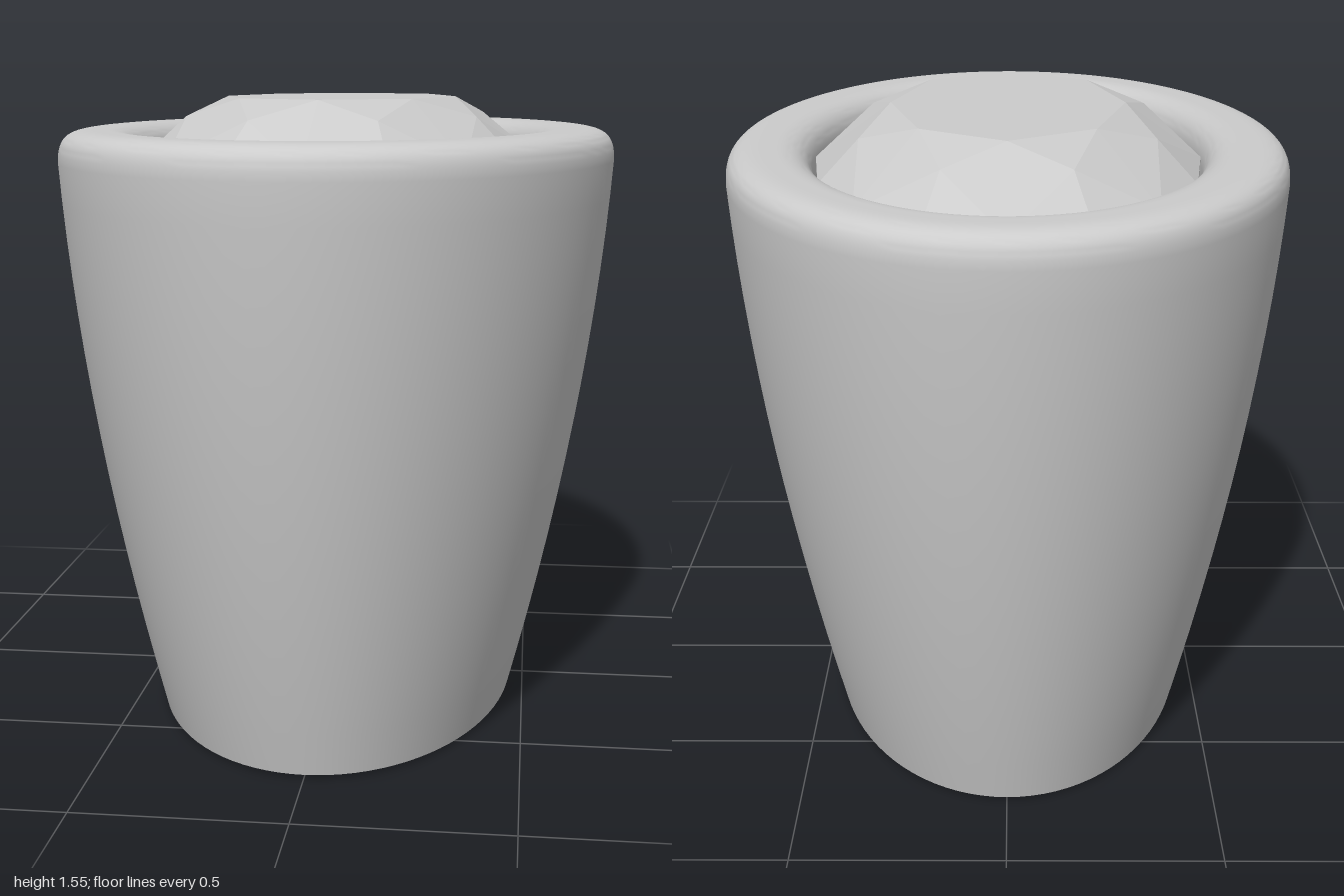
import * as THREE from 'three';
import { toCreasedNormals } from 'three/addons/utils/BufferGeometryUtils.js';

const STRETCH = 0.295; // how much longer the oval is along z than along x

// Oval cup: a lathed wall profile, pushed outward along z by a constant offset
function makeBezel() {
  const path = new THREE.Path();
  path.moveTo(0.465, 0.008);
  path.quadraticCurveTo(0.66, 0.75, 0.705, 1.4);   // flared outer wall
  path.bezierCurveTo(0.705, 1.455, 0.685, 1.478, 0.62, 1.478); // outer lip
  path.lineTo(0.58, 1.478);
  path.bezierCurveTo(0.53, 1.478, 0.495, 1.455, 0.49, 1.4);    // inner lip
  path.quadraticCurveTo(0.46, 0.72, 0.31, 0);      // inner wall
  path.lineTo(0.465, 0.008);                       // bottom rim
  const geo = new THREE.LatheGeometry(path.getPoints(14), 96);
  const pos = geo.attributes.position;
  for (let i = 0; i < pos.count; i++) {
    const x = pos.getX(i), z = pos.getZ(i);
    pos.setZ(i, z + STRETCH * z / Math.hypot(x, z));
  }
  return toCreasedNormals(geo, 0.6);
}

// Oval brilliant cut: table, star, kite and girdle facets above, pavilion below
function makeGem() {
  const out = [];
  const tri = (...pts) => pts.forEach((p) => out.push(...p));
  const step = Math.PI / 8;
  const ring = (rx, rz, y) => (i) => [rx * Math.sin(i * step), y, rz * Math.cos(i * step)];
  const table = ring(0.297, 0.475, 1.555);
  const star = ring(0.39, 0.615, 1.51);
  const girdle = ring(0.492, 0.787, 1.415);
  const base = ring(0.492, 0.787, 1.395);
  const lower = ring(0.125, 0.2, 1.053);
  const top = [0, 1.555, 0], culet = [0, 0.95, 0];

  for (let i = 0; i < 16; i += 2) {
    // crown
    tri(top, table(i), table(i + 2));
    tri(table(i), star(i + 1), table(i + 2));
    tri(girdle(i), star(i + 1), table(i));
    tri(girdle(i), table(i), star(i - 1));
    tri(girdle(i), girdle(i + 1), star(i + 1));
    tri(girdle(i + 1), girdle(i + 2), star(i + 1));
    // pavilion
    tri(base(i), lower(i + 1), base(i + 1));
    tri(base(i + 1), lower(i + 1), base(i + 2));
    tri(base(i), culet, lower(i + 1));
    tri(base(i), lower(i - 1), culet);
  }
  // girdle band
  for (let i = 0; i < 16; i++) {
    tri(base(i), base(i + 1), girdle(i + 1));
    tri(base(i), girdle(i + 1), girdle(i));
  }
  const geo = new THREE.BufferGeometry();
  geo.setAttribute('position', new THREE.Float32BufferAttribute(out, 3));
  geo.computeVertexNormals();
  return geo;
}

export function createModel() {
  const group = new THREE.Group();
  group.name = 'ovalBezelSetting';
  const add = (name, geo, flatShading) => {
    const mesh = new THREE.Mesh(geo, new THREE.MeshStandardMaterial({ color: 0xcccccc, flatShading }));
    mesh.name = name;
    group.add(mesh);
  };
  add('bezel', makeBezel(), false);
  add('gemstone', makeGem(), true);
  return group;
}
